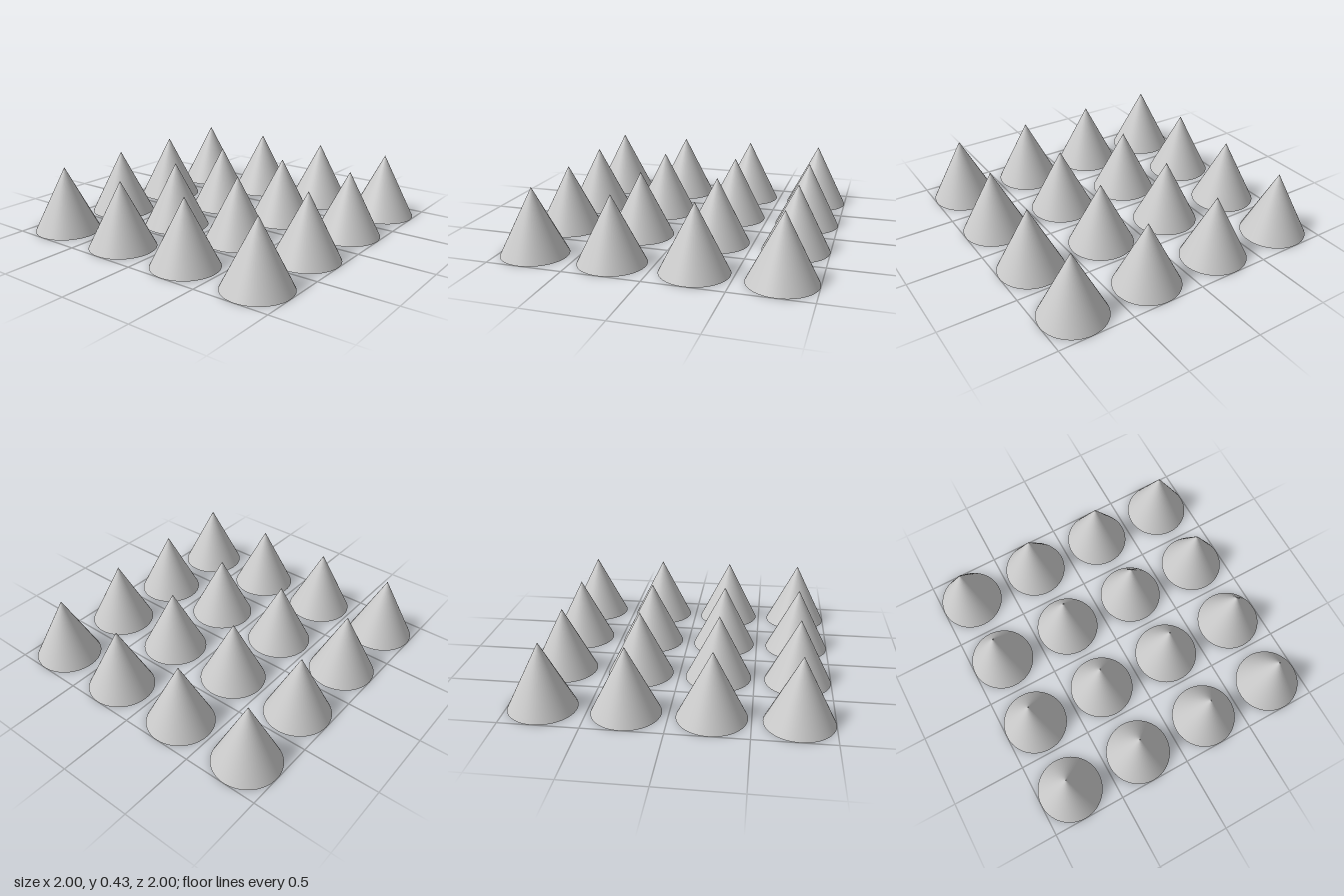
import * as THREE from 'three';

const COUNT = 4;         // cones per row and per column
const RADIUS = 5 / 23;
const HEIGHT = 10 / 23;
const SPACING = 12 / 23; // between neighbouring axes

export function createModel() {
  const model = new THREE.Group();
  model.name = 'coneGrid';
  const material = new THREE.MeshStandardMaterial({ color: 0xcccccc });

  // One closed cone standing on the ground, shared by the whole grid
  const geometry = new THREE.ConeGeometry(RADIUS, HEIGHT, 64);
  geometry.translate(0, HEIGHT / 2, 0);

  const offset = (COUNT - 1) / 2;
  for (let row = 0; row < COUNT; row++) {
    for (let column = 0; column < COUNT; column++) {
      const cone = new THREE.Mesh(geometry, material);
      cone.name = `cone row ${row + 1} column ${column + 1}`;
      cone.position.set((column - offset) * SPACING, 0, (row - offset) * SPACING);
      model.add(cone);
    }
  }
  return model;
}
